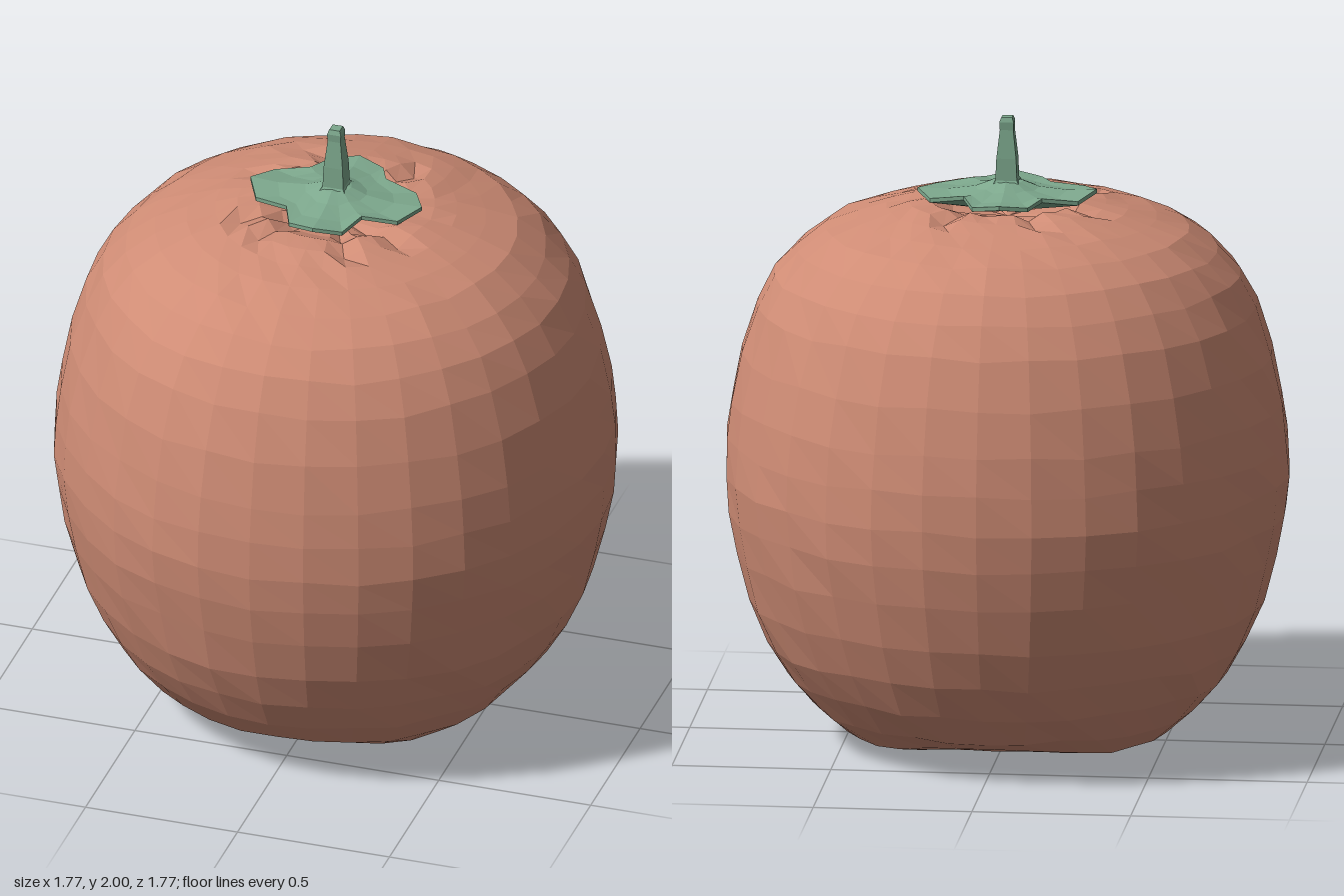
import * as THREE from 'three';

const fruitSkin = new THREE.MeshStandardMaterial({ color: 0xcf8c75 });
const leafGreen = new THREE.MeshStandardMaterial({ color: 0x7da88d });
fruitSkin.name = 'fruitSkin';
leafGreen.name = 'leafGreen';

// Repeatable noise in -1..1 for a pair of whole numbers
function noise(i, j) {
  const s = Math.sin(i * 127.1 + j * 311.7) * 43758.5453;
  return (s - Math.floor(s)) * 2 - 1;
}

// Lathe of [radius, y] pairs whose points are moved by a rule, with flat facets
function facetedLathe(name, profile, segments, material, move, start = 0) {
  const points = profile.map(([r, y]) => new THREE.Vector2(r, y));
  const geometry = new THREE.LatheGeometry(points, segments, start);
  const pos = geometry.attributes.position;
  const v = new THREE.Vector3();
  for (let k = 0; move && k < pos.count; k++) {
    const ring = k % points.length;
    const spoke = Math.floor(k / points.length) % segments;
    v.fromBufferAttribute(pos, k);
    move(v, spoke, ring, points[ring].x);
    pos.setXYZ(k, v.x, v.y, v.z);
  }
  const flat = geometry.toNonIndexed();
  flat.computeVertexNormals();
  const mesh = new THREE.Mesh(flat, material);
  mesh.name = name;
  return mesh;
}

export function createModel() {
  const group = new THREE.Group();
  group.name = 'persimmon';

  // Fruit: plump body, base curved front to back, creases round the crown
  const body = [
    [0, 0.005], [0.22, 0.005], [0.42, 0.015], [0.52, 0.05], [0.61, 0.125], [0.69, 0.22],
    [0.755, 0.33], [0.81, 0.46], [0.85, 0.61], [0.875, 0.74], [0.885, 0.86], [0.88, 0.98],
    [0.865, 1.1], [0.835, 1.25], [0.785, 1.4], [0.73, 1.5], [0.66, 1.58], [0.57, 1.645],
    [0.47, 1.685], [0.38, 1.71], [0.31, 1.728], [0.24, 1.737], [0.17, 1.705], [0, 1.68],
  ];
  const creases = [2, 5, 13, 18, 22, 27, 29];
  group.add(facetedLathe('fruit', body, 32, fruitSkin, (p, spoke, ring, radius) => {
    if (radius === 0) return;
    const crown = p.y > 1.6;
    const wobble = 1 + 0.004 * noise(spoke, ring);
    p.x *= wobble;
    p.z *= wobble;
    if (p.y < 0.25) p.y = Math.max(p.y, 0.32 * p.z * p.z);
    p.y += (crown ? 0.006 : 0.008) * noise(ring, spoke) * (p.y > 0.1 ? 1 : 0.3);
    if (crown && radius < 0.35 && creases.includes(spoke)) p.y -= 0.022;
  }));

  // Calyx: four pointed lobes, shorter at front and back
  const reach = [0.24, 0.228, 0.175, 0.252, 0.282, 0.252, 0.175, 0.228];
  const cap = [
    [0, 1.715], [0.11, 1.72], [0.28, 1.755], [0.28, 1.768],
    [0.19, 1.765], [0.1, 1.776], [0.05, 1.795], [0, 1.8],
  ];
  group.add(facetedLathe('calyx', cap, 16, leafGreen, (p, spoke, ring, radius) => {
    const t = radius / 0.28;
    const scale = 1 + (reach[spoke % 8] / 0.28 - 1) * t;
    p.x *= scale;
    p.z *= scale;
    if (spoke % 2) p.y -= 0.012 * t;
    p.y += 0.005 * t * noise(spoke, 3);
  }));

  // Stem: square stalk, slightly flared at its foot
  const stalk = [
    [0.075, 1.77], [0.048, 1.8], [0.044, 1.87], [0.03, 1.96], [0.032, 1.985], [0.024, 2], [0, 2],
  ];
  group.add(facetedLathe('stem', stalk, 4, leafGreen, null, Math.PI / 4));

  return group;
}
